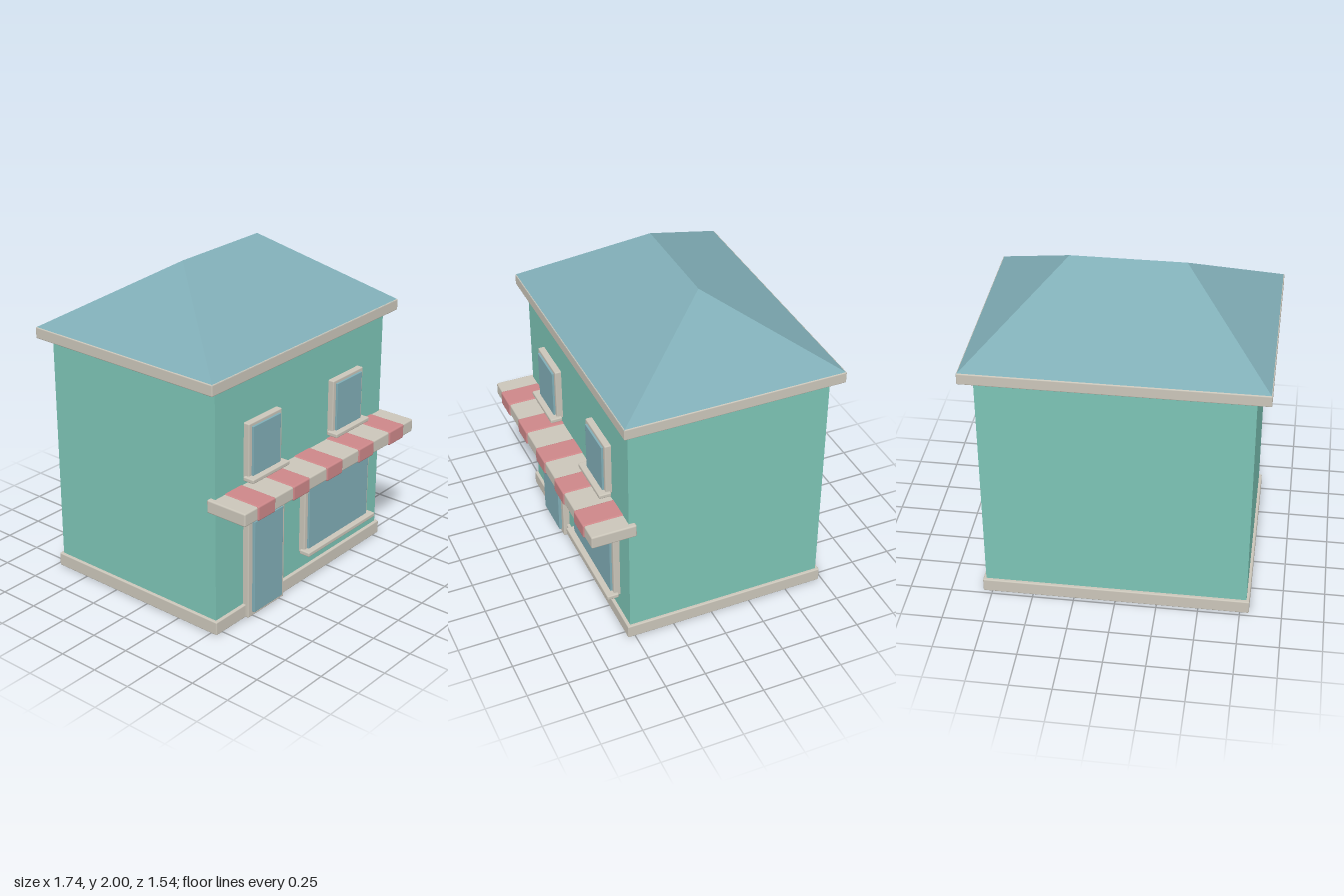
import * as THREE from 'three';
import { RoundedBoxGeometry } from 'three/addons/geometries/RoundedBoxGeometry.js';

const material = (name, color) => {
  const m = new THREE.MeshStandardMaterial({ color });
  m.name = name;
  return m;
};

// Box given by its limits on each axis; bevel 0 leaves sharp edges
function block(name, mat, [x0, x1], [y0, y1], [z0, z1], bevel = 0.007) {
  const size = [x1 - x0, y1 - y0, z1 - z0];
  const geometry = bevel
    ? new RoundedBoxGeometry(...size, 2, bevel)
    : new THREE.BoxGeometry(...size);
  const mesh = new THREE.Mesh(geometry, mat);
  mesh.name = name;
  mesh.position.set((x0 + x1) / 2, (y0 + y1) / 2, (z0 + z1) / 2);
  return mesh;
}

// Hipped roof: rectangular eaves rising to a ridge along x
function hipRoof(halfX, halfZ, height, halfRidge) {
  const a = [-halfX, 0, halfZ], b = [halfX, 0, halfZ];
  const c = [halfX, 0, -halfZ], d = [-halfX, 0, -halfZ];
  const l = [-halfRidge, height, 0], r = [halfRidge, height, 0];
  const triangles = [
    a, b, r, a, r, l, // front
    c, d, l, c, l, r, // back
    b, c, r, d, a, l, // hips
    a, d, c, a, c, b, // underside
  ];
  const geometry = new THREE.BufferGeometry();
  geometry.setAttribute('position', new THREE.Float32BufferAttribute(triangles.flat(), 3));
  geometry.computeVertexNormals();
  return geometry;
}

export function createModel() {
  const wall = material('green wall', 0x7cc4b5);
  const trim = material('cream trim', 0xcac5b9);
  const blue = material('blue roof and glass', 0x80adb6);
  const red = material('awning red', 0xcd8789);

  const house = new THREE.Group();
  house.name = 'shopHouse';

  // Walls, plinth and eaves
  house.add(
    block('walls', wall, [-0.787, 0.787], [0.004, 1.53], [-0.71, 0.525], 0),
    block('plinth', trim, [-0.805, 0.805], [0, 0.085], [-0.73, 0.545]),
    block('eaves', trim, [-0.868, 0.868], [1.52, 1.59], [-0.767, 0.576]),
  );

  // Roof
  const roof = new THREE.Mesh(hipRoof(0.866, 0.67, 0.413, 0.335), blue);
  roof.name = 'roof';
  roof.position.set(0, 1.587, -0.095);
  house.add(roof);

  // Upper windows
  for (const side of [-1, 1]) {
    const x = side * 0.393;
    const window = new THREE.Group();
    window.name = side < 0 ? 'upperWindowRight' : 'upperWindowLeft';
    window.add(
      block('frame', trim, [x - 0.148, x + 0.148], [0.905, 1.245], [0.49, 0.563]),
      block('glass', blue, [x - 0.123, x + 0.123], [0.92, 1.225], [0.53, 0.575], 0.003),
      block('sill', trim, [x - 0.166, x + 0.166], [0.895, 0.922], [0.535, 0.61]),
    );
    house.add(window);
  }

  // Shop window
  const shopWindow = new THREE.Group();
  shopWindow.name = 'shopWindow';
  shopWindow.add(
    block('frame', trim, [-0.012, 0.64], [0.2, 0.66], [0.49, 0.565]),
    block('glass', blue, [0.016, 0.614], [0.22, 0.635], [0.53, 0.577], 0.003),
    block('sill', trim, [-0.027, 0.657], [0.198, 0.227], [0.54, 0.613]),
  );
  house.add(shopWindow);

  // Door
  const door = new THREE.Group();
  door.name = 'door';
  door.add(
    block('frame', trim, [-0.543, -0.21], [0, 0.67], [0.49, 0.565]),
    block('panel', blue, [-0.508, -0.246], [0.03, 0.627], [0.53, 0.583], 0.003),
  );
  house.add(door);

  // Awning with red stripes wrapped round it
  const awning = new THREE.Group();
  awning.name = 'awning';
  awning.add(block('canopy', trim, [-0.815, 0.815], [0.78, 0.862], [0.485, 0.76], 0.01));
  for (let i = -2; i <= 2; i++) {
    const x = i * 0.315;
    awning.add(block('stripe', red, [x - 0.076, x + 0.076], [0.776, 0.867], [0.487, 0.768], 0.01));
  }
  house.add(awning);

  return house;
}
